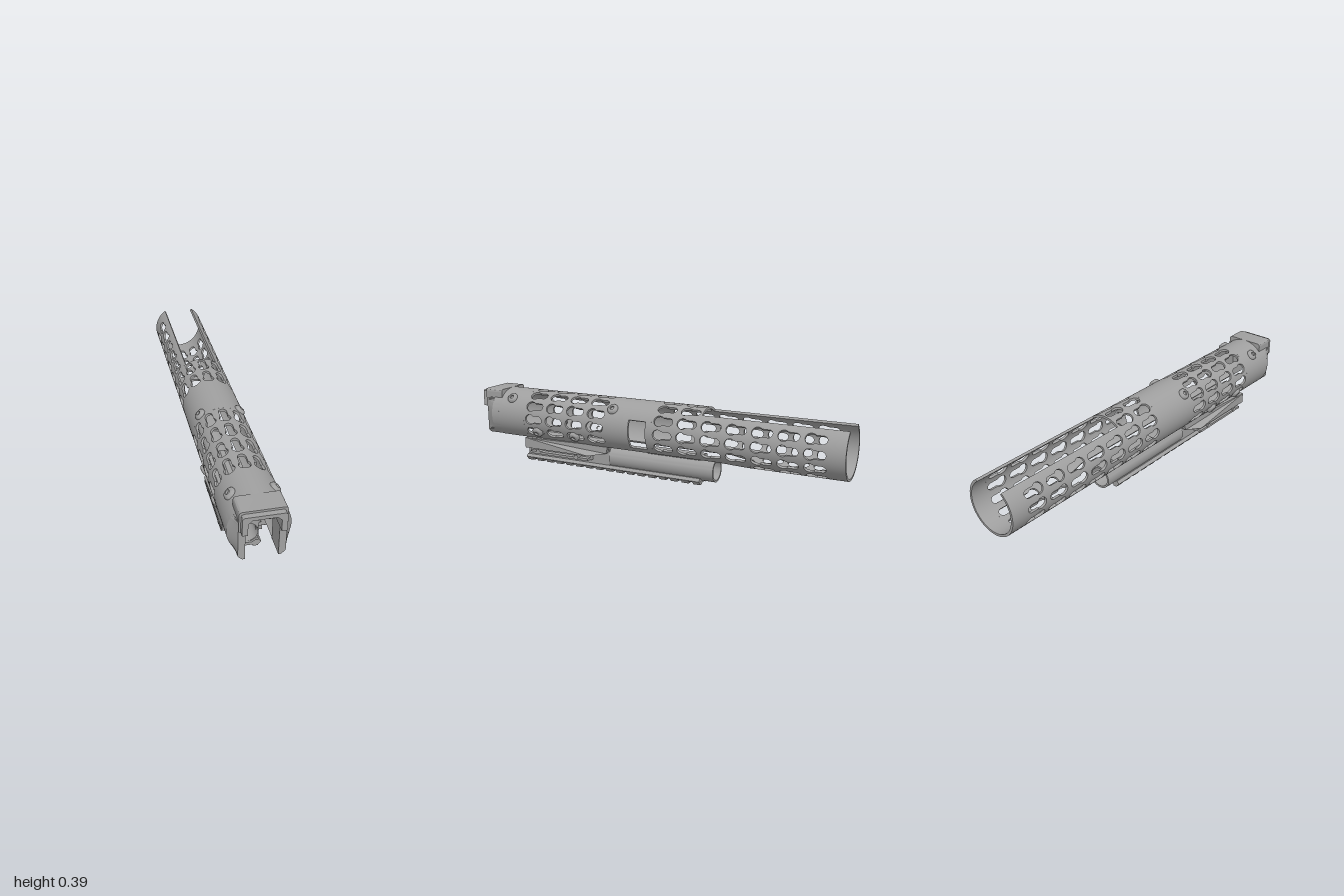
import * as THREE from 'three';
import { mergeGeometries, toCreasedNormals } from 'three/addons/utils/BufferGeometryUtils.js';

const R = 0.136, T = 0.012, CY = 0.25, D = Math.PI / 180;
const metal = new THREE.MeshStandardMaterial({ color: 0xa0a0a0 });
metal.name = 'grey metal';

const shapeOf = pts => new THREE.Shape(pts.map(p => new THREE.Vector2(p[0], p[1])));

function add(parent, name, geo) {
  const m = new THREE.Mesh(geo, metal);
  m.name = name;
  parent.add(m);
  return m;
}

// Extrude a front-facing outline from z0 to z1
function slab(shape, z0, z1, rule) {
  const g = new THREE.ExtrudeGeometry(shape, { depth: z1 - z0, bevelEnabled: false, curveSegments: 20 });
  g.translate(0, 0, z0);
  if (rule) {
    const p = g.attributes.position;
    for (let i = 0; i < p.count; i++) p.setXYZ(i, ...rule(p.getX(i), p.getY(i), p.getZ(i)));
  }
  return toCreasedNormals(g, 0.5);
}

// Flat outline of [angle in degrees, z] wrapped onto the tube wall
function wrapped(pts) {
  const g = new THREE.ExtrudeGeometry(shapeOf(pts.map(([a, z]) => [a * D * R, z])), { depth: T, bevelEnabled: false });
  const p = g.attributes.position, n = g.attributes.normal;
  for (let i = 0; i < p.count; i++) {
    const a = p.getX(i) / R, r = R - T + p.getZ(i), c = Math.cos(a), s = Math.sin(a);
    const nu = n.getX(i), nw = n.getZ(i);
    n.setXYZ(i, c * nw - s * nu, s * nw + c * nu, n.getY(i));
    p.setXYZ(i, r * c, CY + r * s, p.getY(i));
  }
  return g;
}

function tubeGeometry() {
  const out = [];
  const plain = (a0, a1, z0, z1) => {
    const n = Math.ceil((a1 - a0) / 6), edge = typeof z1 === 'function' ? z1 : () => z1;
    for (let i = 0; i < n; i++) {
      const a = a0 + (a1 - a0) * i / n, b = a0 + (a1 - a0) * (i + 1) / n;
      out.push(wrapped([[a, z0], [b, z0], [b, edge(b)], [a, edge(a)]]));
    }
  };
  // One keyhole cell, made as two mirrored halves
  const cell = (a, z) => {
    const wide = 0.027, slim = 0.019, zw = z + 0.086, zs = z + 0.031, deg = 1 / (R * D);
    for (const s of [1, -1]) {
      const pts = [[0, z], [7.5, z], [15, z], [15, z + 0.125], [7.5, z + 0.125], [0, z + 0.125]];
      const end = Math.PI - Math.asin(slim / wide);
      for (let i = 0; i <= 9; i++) {
        const t = end * i / 9;
        pts.push([wide * Math.sin(t) * deg, zw + wide * Math.cos(t)]);
      }
      for (let i = 0; i <= 5; i++) {
        const t = Math.PI / 2 * (1 + i / 5);
        pts.push([slim * Math.sin(t) * deg, zs + slim * Math.cos(t)]);
      }
      out.push(wrapped(pts.map(([u, v]) => [a + s * u, v])));
    }
  };
  const row = (a0, a1, z) => { for (let a = a0; a <= a1; a += 30) cell(a, z); };

  // Front keyhole group
  for (let k = 0; k < 4; k++) {
    const z = 0.205 + 0.125 * k;
    row(-30, 210, z);
    plain(-56, -45, z, z + 0.125);
    plain(225, 236, z, z + 0.125);
  }
  plain(-56, 236, 0.705, 0.88);
  // Plain middle with a window on the left side
  plain(-56, -40, -0.05, 0.205);
  plain(25, 236, -0.05, 0.205);
  plain(-40, 25, -0.05, -0.02);
  plain(-40, 25, 0.075, 0.205);
  // Rear keyhole group: open on top behind the second column, closed below from the fifth
  for (let k = 0; k < 7; k++) {
    const z = -0.05 - 0.125 * (k + 1);
    if (k < 2) row(-30, 210, z);
    else {
      row(-30, 30, z);
      row(150, 210, z);
      plain(45, 54, z, z + 0.125);
      plain(126, 135, z, z + 0.125);
    }
    if (k < 4) {
      plain(-56, -45, z, z + 0.125);
      plain(225, 236, z, z + 0.125);
    } else row(240, 300, z);
  }
  plain(126, 414, -1, -0.925);
  // Rounded end of the bottom channel
  const arch = a => {
    const x = Math.abs(R * Math.cos(a * D));
    return x < 0.06 ? -0.487 - Math.sqrt(0.0036 - x * x) : -0.487 + (x - 0.06) * 5.5;
  };
  plain(-124, -56, -0.55, arch);
  return mergeGeometries(out);
}

function frontCollar(group) {
  // Side cheeks, tapering inward at the front
  for (const s of [1, -1]) {
    const pts = [[s * 0.07, 0.14]];
    for (let a = -54; a <= 50; a += 4) pts.push([s * R * Math.cos(a * D), CY + R * Math.sin(a * D)]);
    pts.push([s * 0.07, 0.354]);
    const outline = shapeOf(pts);
    add(group, 'collarCheek', slab(outline, 0.87, 0.915));
    add(group, 'cheekTaper', slab(outline, 0.915, 0.97,
      (x, y, z) => [z > 0.95 ? Math.max(-0.1, Math.min(0.1, x)) : x, y, z]));
  }
  // Squared cap with a stepped opening
  const hood = (w, top, inner) => {
    const s = new THREE.Shape(), r = 0.016;
    s.moveTo(-w, 0.288);
    inner.forEach(([x, y]) => s.lineTo(-x, y));
    [...inner].reverse().forEach(([x, y]) => s.lineTo(x, y));
    s.lineTo(w, 0.288);
    s.lineTo(w, top - r);
    s.quadraticCurveTo(w, top, w - r, top);
    s.lineTo(-w + r, top);
    s.quadraticCurveTo(-w, top, -w, top - r);
    return s;
  };
  const throat = [[0.068, 0.288], [0.068, 0.343], [0.05, 0.359]];
  add(group, 'capHood', slab(hood(0.1, 0.386, throat), 0.87, 0.975));
  add(group, 'capLip', slab(hood(0.092, 0.376, throat), 0.975, 1));
  add(group, 'capThroat', slab(hood(0.085, 0.37, [[0.038, 0.288], [0.034, 0.335], [0.022, 0.345]]), 0.87, 0.92));
}

function screws(group) {
  const profile = [[0.028, -0.008], [0.028, 0.004], [0.024, 0.01], [0.016, 0.014], [0.011, 0.014], [0.011, 0.004], [0, 0.004]];
  const geo = toCreasedNormals(new THREE.LatheGeometry(profile.map(p => new THREE.Vector2(...p)), 24), 0.6);
  for (const [z, a] of [[0.8, 45], [0.18, 45], [0.63, -30], [0.4, -30]]) {
    for (const ang of [a, 180 - a]) {
      const dir = new THREE.Vector3(Math.cos(ang * D), Math.sin(ang * D), 0);
      const m = add(group, 'screw', geo);
      m.position.copy(dir).multiplyScalar(R).add(new THREE.Vector3(0, CY, z));
      m.quaternion.setFromUnitVectors(new THREE.Vector3(0, 1, 0), dir);
    }
  }
}

function lowerRail(group) {
  const bored = s => {
    s.holes.push(new THREE.Path().absarc(0, 0.073, 0.049, 0, Math.PI * 2, true));
    return s;
  };
  // Bored body at the front, round barrel behind it
  add(group, 'railBody', slab(bored(shapeOf([[-0.05, 0.02], [0.05, 0.02], [0.05, 0.12], [0.062, 0.12], [0.012, 0.161],
    [-0.012, 0.161], [-0.062, 0.12], [-0.05, 0.12]])), 0.23, 0.74));
  const ring = new THREE.Shape().absarc(0, 0.073, 0.059, 0, Math.PI * 2, false);
  add(group, 'railBarrel', slab(bored(ring), -0.35, 0.23));
  add(group, 'topRidge', slab(shapeOf([[-0.04, 0.124], [0.04, 0.124], [0.04, 0.138], [0.03, 0.145], [-0.03, 0.145], [-0.04, 0.138]]), -0.28, 0.01));

  // Toothed accessory rail
  add(group, 'railBase', slab(shapeOf([[-0.062, 0.02], [-0.054, 0.012], [0.054, 0.012], [0.062, 0.02], [0.05, 0.034],
    [0.035, 0.034], [0.02, 0.024], [-0.02, 0.024], [-0.035, 0.034], [-0.05, 0.034]]), -0.28, 0.75));
  const tooth = slab(shapeOf([[-0.058, 0.016], [-0.046, 0], [-0.025, 0], [-0.025, 0.008], [0.025, 0.008], [0.025, 0],
    [0.046, 0], [0.058, 0.016]]), -0.019, 0.019);
  for (let i = 0; i < 17; i++) add(group, 'railTooth', tooth).position.z = 0.73 - i * 0.062;

  // Side clamps with cross bolts
  const boltGeo = new THREE.CylinderGeometry(0.012, 0.012, 0.05, 16).rotateZ(Math.PI / 2);
  const jaw = [[0.72, 0.14], [0.72, 0.085], [0.33, 0.085], [0.24, 0.1], [0.23, 0.14]];
  for (const s of [1, -1]) {
    const wing = new THREE.ExtrudeGeometry(shapeOf(jaw.map(([z, y]) => [-z, y])), { depth: 0.058, bevelEnabled: false });
    wing.rotateY(Math.PI / 2);
    wing.translate(s > 0 ? 0.05 : -0.108, 0, 0);
    const p = wing.attributes.position;
    for (let i = 0; i < p.count; i++) if (p.getZ(i) < 0.3 && Math.abs(p.getX(i)) > 0.1) p.setX(i, s * 0.07);
    add(group, 'clampWing', toCreasedNormals(wing, 0.3));
    add(group, 'clampPlate', new THREE.BoxGeometry(0.03, 0.04, 0.38)).position.set(s * 0.06, 0.075, 0.52);
    add(group, 'clampLedge', new THREE.BoxGeometry(0.038, 0.012, 0.36)).position.set(s * 0.087, 0.064, 0.51);
    for (const z of [0.64, 0.4]) add(group, 'clampBolt', boltGeo).position.set(s * 0.083, 0.07, z);
  }
}

export function createModel() {
  const model = new THREE.Group();
  model.name = 'slottedHandguard';
  add(model, 'slottedTube', tubeGeometry());
  for (const [name, build] of [['frontCollar', frontCollar], ['tubeScrews', screws], ['lowerRail', lowerRail]]) {
    const g = new THREE.Group();
    g.name = name;
    build(g);
    model.add(g);
  }
  return model;
}
